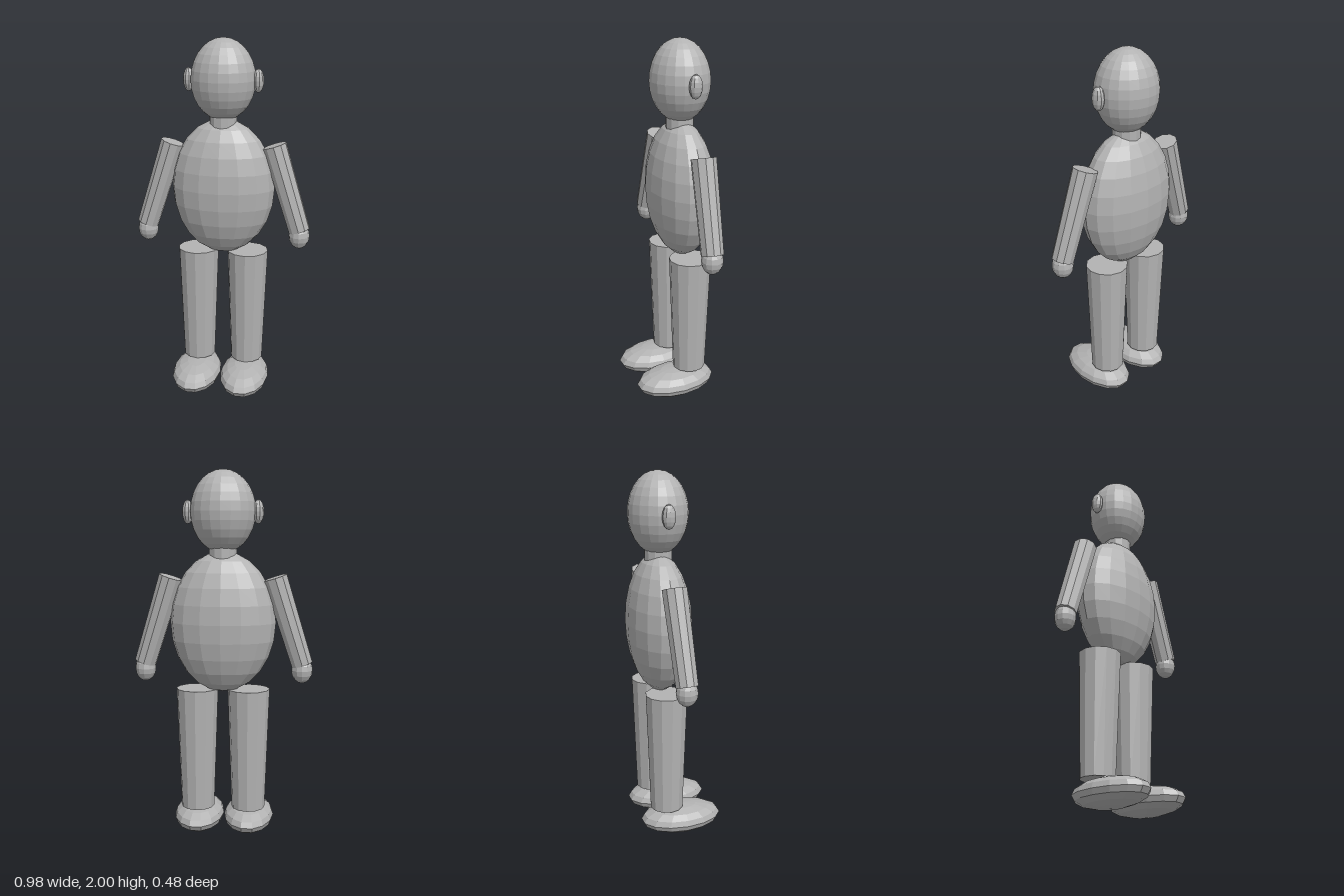
import * as THREE from 'three';

const skin = new THREE.MeshStandardMaterial({ color: 0xb2b2b2, flatShading: true });
skin.name = 'plain grey';

// Faceted ellipsoid with its poles on the y axis
function ellipsoid(name, center, radii, sides, rows) {
  const mesh = new THREE.Mesh(new THREE.SphereGeometry(1, sides, rows).scale(...radii), skin);
  mesh.name = name;
  mesh.position.set(...center);
  return mesh;
}

// Tapered limb from its top centre to its bottom centre
function limb(name, top, bottom, rTop, rBottom, sides) {
  const a = new THREE.Vector3(...top), b = new THREE.Vector3(...bottom);
  const dir = a.clone().sub(b);
  const mesh = new THREE.Mesh(new THREE.CylinderGeometry(rTop, rBottom, dir.length(), sides), skin);
  mesh.name = name;
  mesh.position.copy(a).add(b).multiplyScalar(0.5);
  mesh.quaternion.setFromUnitVectors(new THREE.Vector3(0, 1, 0), dir.normalize());
  return mesh;
}

export function createModel() {
  const model = new THREE.Group();
  model.name = 'figure';

  // Head, neck and torso
  model.add(
    ellipsoid('head', [0, 1.783, -0.07], [0.175, 0.217, 0.16], 20, 14),
    limb('neck', [0, 1.61, -0.07], [0, 1.53, -0.07], 0.075, 0.075, 12),
    ellipsoid('torso', [0, 1.195, -0.072], [0.286, 0.38, 0.17], 16, 12),
  );

  // Paired parts
  for (const [side, s] of [['left', 1], ['right', -1]]) {
    model.add(
      ellipsoid(side + 'Ear', [s * 0.187, 1.78, -0.07], [0.03, 0.063, 0.036], 10, 8),
      limb(side + 'Arm', [s * 0.28, 1.437, -0.072], [s * 0.43, 0.967, -0.055], 0.067, 0.06, 10),
      ellipsoid(side + 'Hand', [s * 0.43, 0.935, -0.055], [0.058, 0.072, 0.058], 12, 8),
      limb(side + 'Leg', [s * 0.141, 0.83, -0.071], [s * 0.141, 0.155, -0.071], 0.115, 0.092, 12),
      ellipsoid(side + 'Foot', [s * 0.141, 0.077, 0.015], [0.14, 0.077, 0.231], 14, 8),
    );
  }
  return model;
}
